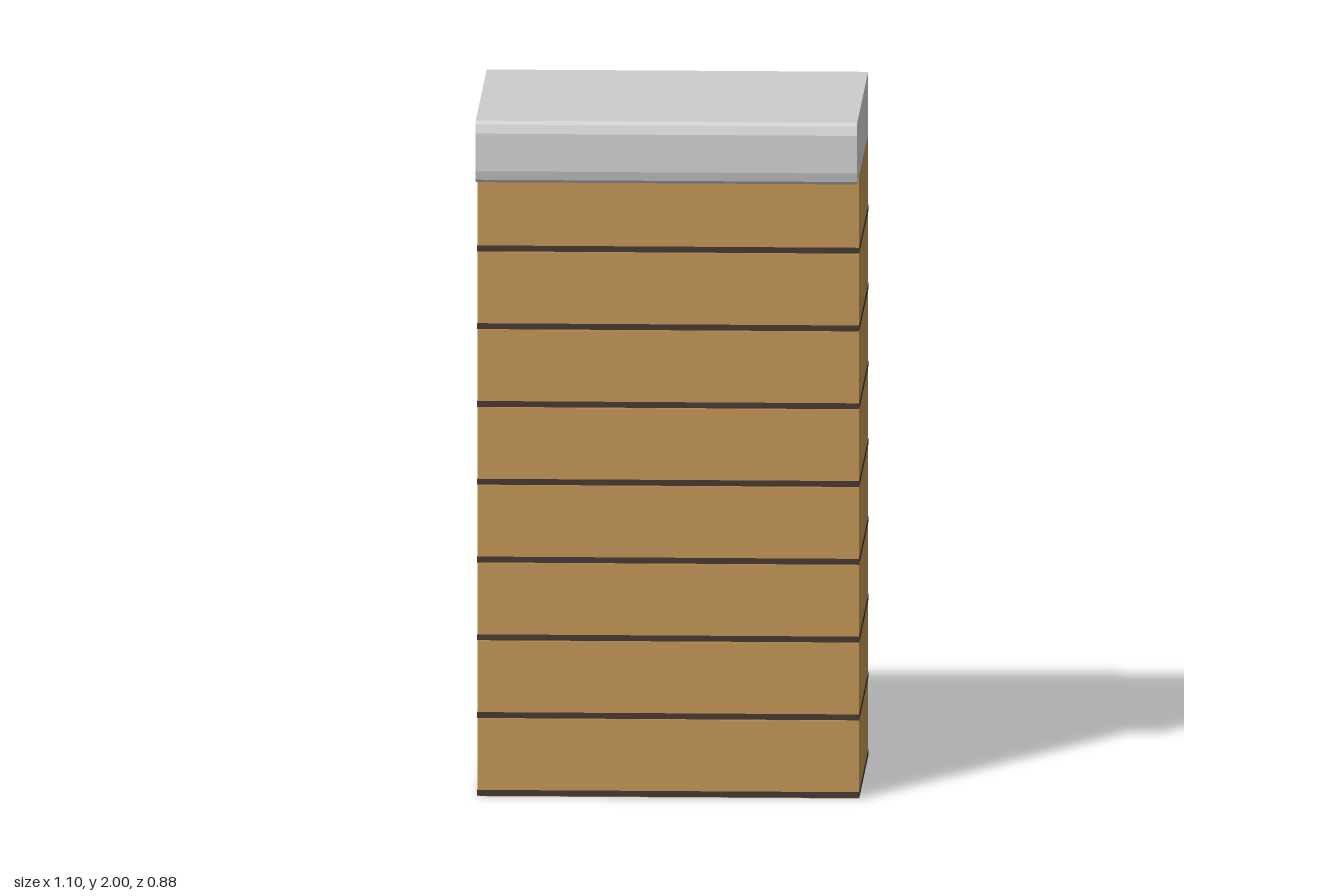
import * as THREE from 'three';

const WIDTH = 1.1, BACK = -0.44, FRONT = 0.29, BODY_TOP = 1.82;
const ROWS = 8, PITCH = 0.2275, GAP = 0.02, RECESS = 0.006;

// Extrude a [z, y] side profile across the full width, centred on x
function extrudeAcross(points, material, name) {
  const shape = new THREE.Shape(points.map(([z, y]) => new THREE.Vector2(-z, y)));
  const geometry = new THREE.ExtrudeGeometry(shape, { depth: WIDTH, bevelEnabled: false });
  geometry.translate(0, 0, -WIDTH / 2);
  geometry.rotateY(Math.PI / 2);
  const mesh = new THREE.Mesh(geometry, material);
  mesh.name = name;
  return mesh;
}

export function createModel() {
  const model = new THREE.Group();
  model.name = 'plankCounter';
  const wood = new THREE.MeshStandardMaterial({ color: 0xbb9050 });
  const dark = new THREE.MeshStandardMaterial({ color: 0x3f342d });
  const grey = new THREE.MeshStandardMaterial({ color: 0xcccccc, flatShading: true });

  // Planked body, with a shallow groove under each plank at the front
  const profile = [[BACK, BODY_TOP], [BACK, 0]];
  for (let i = 0; i < ROWS; i++) {
    const y = i * PITCH;
    if (i > 0) profile.push([FRONT, y]);
    profile.push([FRONT - RECESS, y], [FRONT - RECESS, y + GAP], [FRONT, y + GAP]);
  }
  profile.push([FRONT, BODY_TOP]);
  model.add(extrudeAcross(profile, wood, 'plankBody'));

  // Dark seams running round the body between the planks
  const seams = new THREE.Group();
  seams.name = 'plankSeams';
  const skin = 0.001;
  const zMin = BACK - skin, zMax = FRONT - RECESS + skin;
  const seamGeometry = new THREE.BoxGeometry(WIDTH + 2 * skin, GAP - 0.003, zMax - zMin);
  for (let i = 0; i < ROWS; i++) {
    const seam = new THREE.Mesh(seamGeometry, dark);
    seam.name = 'seam';
    seam.position.set(0, i * PITCH + GAP / 2, (zMin + zMax) / 2);
    seams.add(seam);
  }
  model.add(seams);

  // Overhanging worktop with eased front edges
  model.add(extrudeAcross([
    [BACK, 2], [BACK, BODY_TOP],
    [0.422, 1.82], [0.433, 1.829], [0.44, 1.855],
    [0.44, 1.965], [0.433, 1.991], [0.422, 2],
  ], grey, 'worktop'));

  return model;
}
